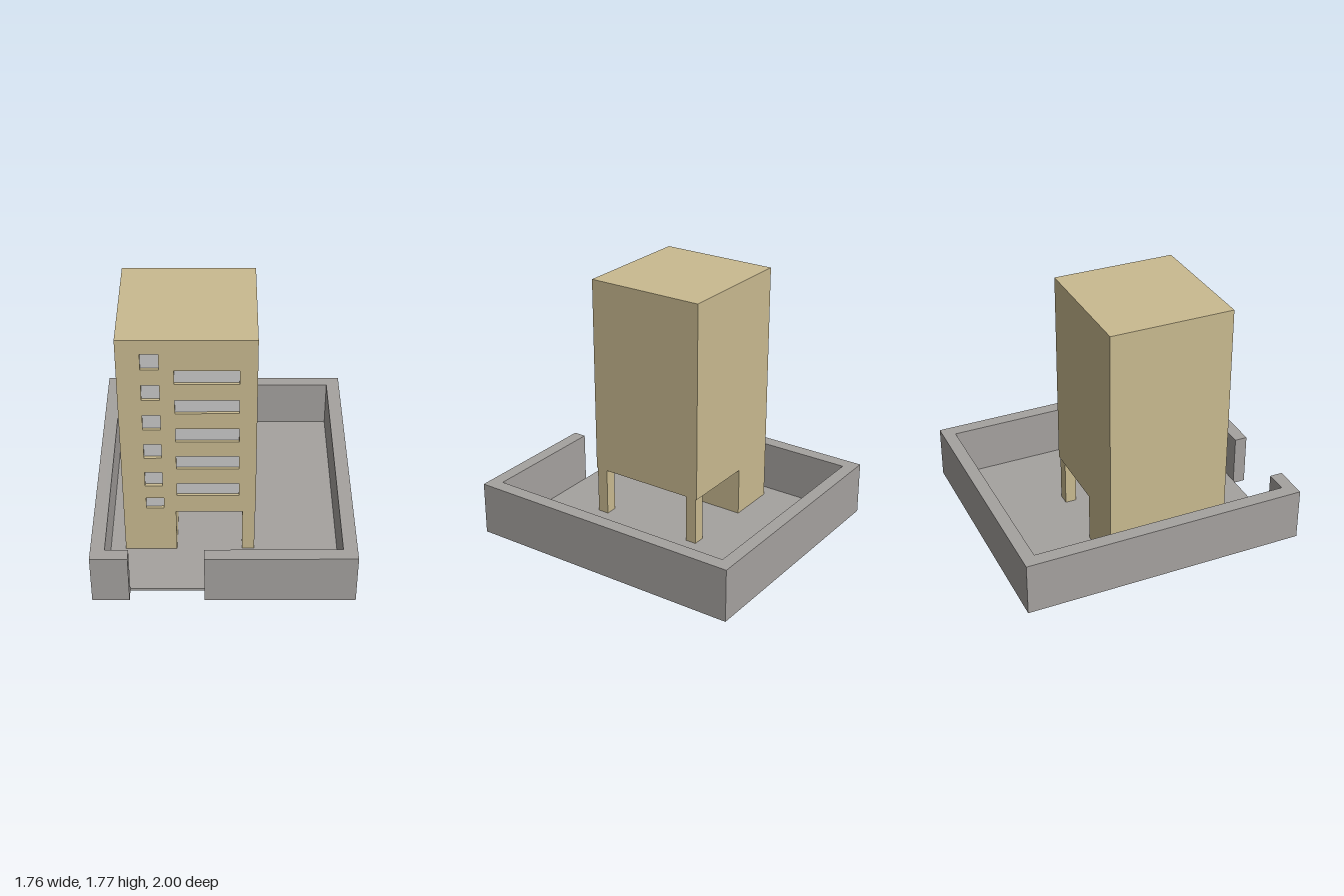
import * as THREE from 'three';

const mat = (name, color, side = THREE.FrontSide) => {
  const m = new THREE.MeshStandardMaterial({ color, side });
  m.name = name;
  return m;
};

const shapeOf = pts => new THREE.Shape(pts.map(([x, y]) => new THREE.Vector2(x, y)));

export function createModel() {
  const model = new THREE.Group();
  model.name = 'towerWithYard';
  const sand = mat('sand', 0xc9ba90);
  const concrete = mat('concrete', 0xa5a29f, THREE.DoubleSide);
  const glass = mat('glass', 0xc9c9c9);

  const add = (name, geometry, material, parent = model) => {
    const mesh = new THREE.Mesh(geometry, material);
    mesh.name = name;
    parent.add(mesh);
    return mesh;
  };
  // Box given by its lower and upper corners
  const box = (name, [x0, y0, z0], [x1, y1, z1], material, parent) => {
    const mesh = add(name, new THREE.BoxGeometry(x1 - x0, y1 - y0, z1 - z0), material, parent);
    mesh.position.set((x0 + x1) / 2, (y0 + y1) / 2, (z0 + z1) / 2);
  };

  // Yard floor
  box('yardFloor', [-0.785, 0, -0.91], [0.785, 0.02, 0.91], concrete);

  // Yard wall: one loop in plan (x, z) with a gate gap, open underneath
  const plan = [
    [-0.13, 1], [0.88, 1], [0.88, -1], [-0.88, -1], [-0.88, 1], [-0.63, 1],
    [-0.63, 0.91], [-0.785, 0.91], [-0.785, -0.91], [0.785, -0.91], [0.785, 0.91], [-0.13, 0.91],
  ];
  const wallHeight = 0.375;
  const wall = new THREE.Group();
  wall.name = 'yardWall';
  model.add(wall);
  const sides = [];
  plan.forEach(([ax, az], i) => {
    const [bx, bz] = plan[(i + 1) % plan.length];
    sides.push(ax, 0, az, bx, 0, bz, bx, wallHeight, bz);
    sides.push(ax, 0, az, bx, wallHeight, bz, ax, wallHeight, az);
  });
  const sideGeometry = new THREE.BufferGeometry();
  sideGeometry.setAttribute('position', new THREE.Float32BufferAttribute(sides, 3));
  sideGeometry.computeVertexNormals();
  add('wallSides', sideGeometry, concrete, wall);
  const cap = new THREE.ShapeGeometry(shapeOf(plan.map(([x, z]) => [x, -z])));
  cap.rotateX(-Math.PI / 2).translate(0, wallHeight, 0);
  add('wallTop', cap, concrete, wall);

  // Tower: a core reaching the ground, with the rest raised on pillars
  const outline = [
    [-0.68, 0.02], [-0.325, 0.02], [-0.325, 0.365],
    [0.215, 0.365], [0.215, 1.775], [-0.68, 1.775],
  ];
  const zBack = -0.33, zPane = 0.5, zFront = 0.525;
  const body = new THREE.ExtrudeGeometry(shapeOf(outline), { depth: zPane - zBack, bevelEnabled: false });
  add('towerBody', body.translate(0, 0, zBack), sand);

  // Window openings as [x0, x1, y0, y1]
  const windows = [[-0.525, -0.405, 0.4, 0.49]];
  for (let i = 0; i < 5; i++) {
    const ySmall = 0.597 + i * 0.239, yWide = 0.51 + i * 0.232;
    windows.push([-0.527, -0.41, ySmall, ySmall + 0.117]);
    windows.push([-0.315, 0.1, yWide, yWide + 0.107]);
  }

  // Front layer with holes, and thin panes set at the back of them
  const front = shapeOf(outline);
  for (const [x0, x1, y0, y1] of windows) {
    front.holes.push(shapeOf([[x0, y0], [x0, y1], [x1, y1], [x1, y0]]));
    box('windowPane', [x0, y0, zPane - 0.002], [x1, y1, zPane + 0.004], glass);
  }
  const facade = new THREE.ExtrudeGeometry(front, { depth: zFront - zPane, bevelEnabled: false });
  add('towerFront', facade.translate(0, 0, zPane), sand);

  // Pillars under the raised side
  for (const z of [zBack + 0.01, zFront - 0.085]) {
    box('pillar', [0.125, 0.02, z], [0.21, 0.37, z + 0.08], sand);
  }

  return model;
}
